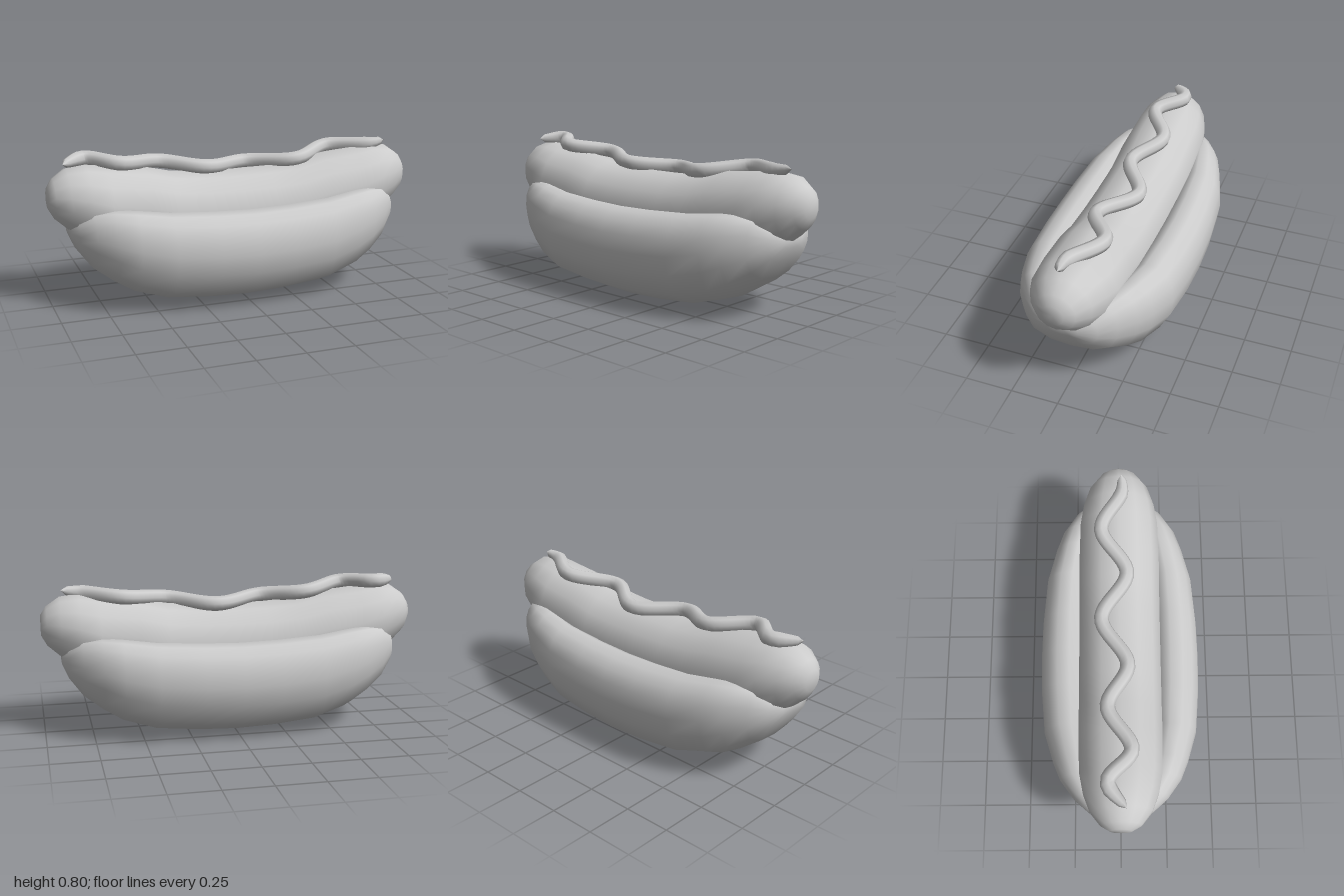
import * as THREE from 'three';

const material = new THREE.MeshStandardMaterial({ color: 0xcccccc });

// Smooth closed skin over equal-length rings running along +x
function loft(rings) {
  const n = rings[0].length;
  const points = rings.flat();
  const index = [];
  for (let i = 0; i < rings.length - 1; i++) {
    for (let j = 0; j < n; j++) {
      const k = (j + 1) % n;
      const a = i * n + j, b = i * n + k, c = a + n, d = b + n;
      index.push(a, b, c, b, d, c);
    }
  }
  // End caps
  for (const i of [0, rings.length - 1]) {
    const centre = new THREE.Vector3();
    rings[i].forEach((p) => centre.addScaledVector(p, 1 / n));
    const tip = points.push(centre) - 1;
    for (let j = 0; j < n; j++) {
      const a = i * n + j, b = i * n + (j + 1) % n;
      if (i === 0) index.push(tip, b, a);
      else index.push(tip, a, b);
    }
  }
  const geometry = new THREE.BufferGeometry().setFromPoints(points);
  geometry.setIndex(index);
  geometry.computeVertexNormals();
  return geometry;
}

// Half a table (x >= 0) becomes the full run from -x to +x
function mirrorStations(half) {
  const left = half.slice(1).reverse().map(([x, ...rest]) => [-x, ...rest]);
  return [...left, ...half];
}

function addPart(group, name, geometry) {
  const mesh = new THREE.Mesh(geometry, material);
  mesh.name = name;
  group.add(mesh);
}

// Bun: grooved section, scaled by half width, bottom and top at each station
function bunGeometry() {
  const half = [
    [0, 0.6], [0.3, 0.68], [0.5, 0.94], [0.63, 1], [0.78, 0.98], [0.9, 0.9],
    [0.975, 0.775], [1, 0.6], [0.965, 0.4], [0.825, 0.18], [0.46, 0.035], [0, 0],
  ];
  const section = [...half, ...half.slice(1, -1).reverse().map(([u, v]) => [-u, v])];
  const stations = mirrorStations([
    [0, 0.43, 0.003, 0.505], [0.2, 0.425, 0.01, 0.51], [0.43, 0.405, 0.03, 0.522],
    [0.6, 0.355, 0.08, 0.54], [0.7, 0.315, 0.14, 0.545], [0.8, 0.245, 0.215, 0.53],
    [0.87, 0.17, 0.31, 0.48], [0.9, 0.08, 0.38, 0.435],
  ]);
  return loft(stations.map(([x, width, bottom, top]) => section.map(([u, v]) =>
    new THREE.Vector3(x, bottom + (top - bottom) * v, width * u))));
}

// Sausage: round sections (x, centre height, radius) along a sagging axis
function sausageGeometry() {
  const sides = 14;
  const stations = mirrorStations([
    [0, 0.44, 0.222], [0.18, 0.443, 0.222], [0.35, 0.455, 0.222], [0.5, 0.49, 0.222],
    [0.7, 0.515, 0.216], [0.8, 0.547, 0.197], [0.9, 0.572, 0.16],
    [0.97, 0.58, 0.105], [1, 0.585, 0.055],
  ]);
  return loft(stations.map(([x, y, r]) => Array.from({ length: sides }, (_, j) => {
    const angle = (j / sides) * Math.PI * 2;
    return new THREE.Vector3(x, y + r * Math.cos(angle), r * Math.sin(angle));
  })));
}

// Sauce: wavy tube narrowed to closed ends
function sauceGeometry() {
  const path = new THREE.CatmullRomCurve3([
    [-0.92, 0.758, 0.025], [-0.79, 0.765, -0.065], [-0.63, 0.75, 0.055],
    [-0.4, 0.722, -0.065], [-0.17, 0.695, 0.04], [0.09, 0.68, -0.095],
    [0.34, 0.7, 0.04], [0.58, 0.734, -0.095], [0.79, 0.748, 0.015], [0.89, 0.762, 0.015],
  ].map((p) => new THREE.Vector3(...p)));
  const segments = 72, sides = 8;
  const geometry = new THREE.TubeGeometry(path, segments, 0.039, sides);
  const position = geometry.attributes.position;
  const point = new THREE.Vector3();
  for (let i = 0; i <= segments; i++) {
    const fromEnd = Math.min(i, segments - i);
    const scale = [0, 0.6, 0.75, 0.88][fromEnd] ?? 1;
    const centre = path.getPointAt(i / segments);
    for (let j = 0; j <= sides; j++) {
      const k = i * (sides + 1) + j;
      point.fromBufferAttribute(position, k).sub(centre).multiplyScalar(scale).add(centre);
      position.setXYZ(k, point.x, point.y, point.z);
    }
  }
  return geometry;
}

export function createModel() {
  const group = new THREE.Group();
  group.name = 'hotDog';
  addPart(group, 'bun', bunGeometry());
  addPart(group, 'sausage', sausageGeometry());
  addPart(group, 'sauce', sauceGeometry());
  return group;
}
